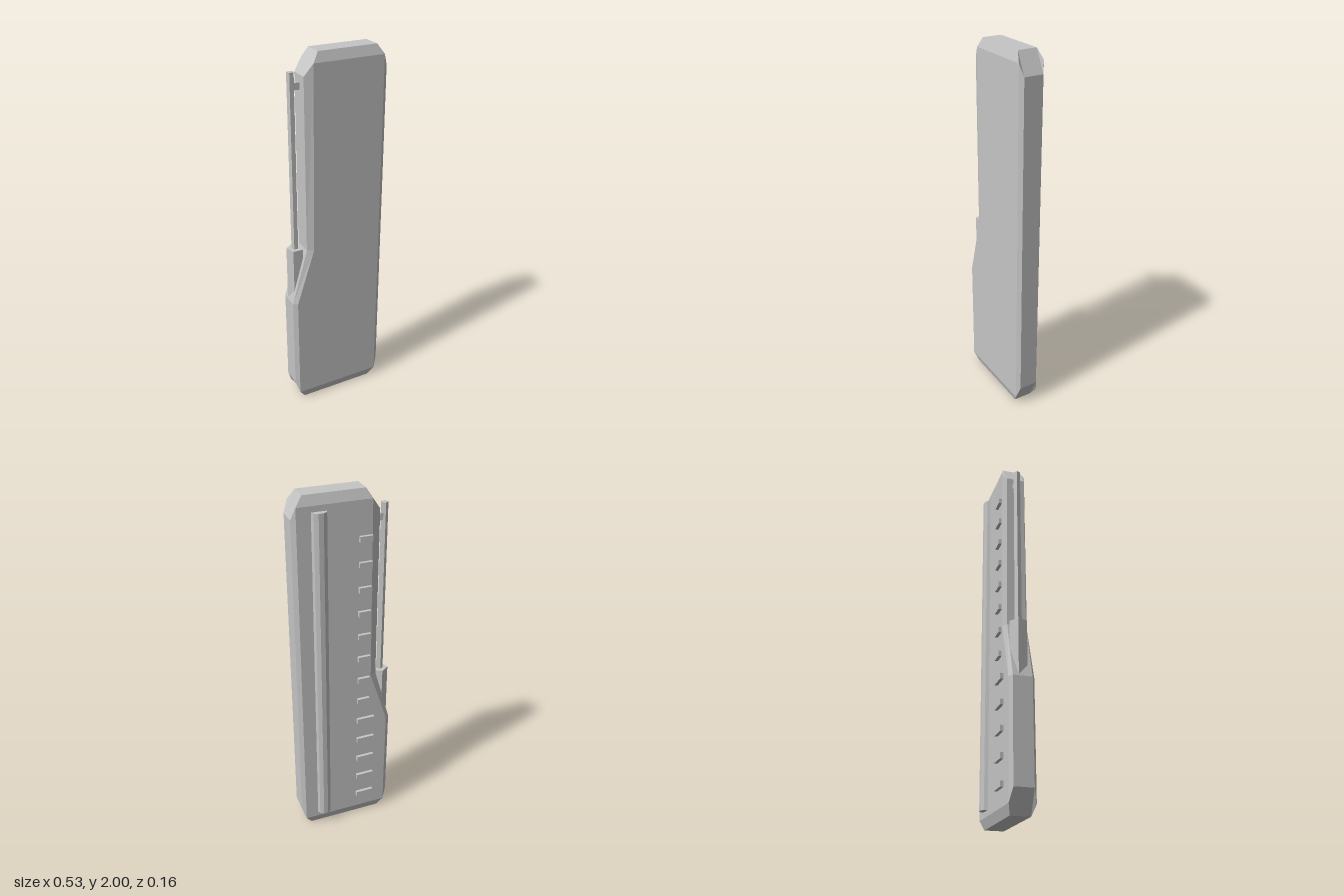
import * as THREE from 'three';

// Bevelled slab: two outer faces and a wider middle band, both listed counter-clockwise
function slabGeometry(edge, face, zBack, zBackEdge, zFrontEdge, zFront) {
  const ring = (pts, z) => pts.map(([x, y]) => [x, y, z]);
  const rings = [ring(face, zFront), ring(edge, zFrontEdge), ring(edge, zBackEdge), ring(face, zBack)];
  const n = edge.length;
  const pos = [];
  const same = (p, q) => p.every((v, i) => v === q[i]);
  const tri = (a, b, c) => {
    if (!same(a, b) && !same(b, c) && !same(a, c)) pos.push(...a, ...b, ...c);
  };
  // bevels and sides
  for (let r = 0; r < 3; r++) {
    for (let i = 0; i < n; i++) {
      const j = (i + 1) % n;
      const a = rings[r][i], b = rings[r][j], c = rings[r + 1][j], d = rings[r + 1][i];
      tri(a, d, c);
      tri(a, c, b);
    }
  }
  // flat faces
  for (let i = 1; i < n - 1; i++) {
    tri(rings[0][0], rings[0][i], rings[0][i + 1]);
    tri(rings[3][0], rings[3][i + 1], rings[3][i]);
  }
  const g = new THREE.BufferGeometry();
  g.setAttribute('position', new THREE.Float32BufferAttribute(pos, 3));
  g.computeVertexNormals();
  return g;
}

export function createModel() {
  const model = new THREE.Group();
  model.name = 'handset';

  const grey = new THREE.MeshStandardMaterial({ color: 0xc5c5c5 });
  grey.name = 'lightGrey';
  grey.flatShading = true;

  const add = (name, geometry, x, y, z) => {
    const mesh = new THREE.Mesh(geometry, grey);
    mesh.name = name;
    mesh.position.set(x, y, z);
    model.add(mesh);
  };

  // Body with a stepped side; each cut corner meets one corner of the face
  const edge = [
    [0.21, 0], [0.267, 0.12], [0.267, 1.89], [0.21, 2], [-0.105, 2],
    [-0.179, 1.89], [-0.179, 0.97], [-0.267, 0.66], [-0.267, 0.12], [-0.21, 0],
  ];
  const bottomRight = [0.245, 0.05], topRight = [0.245, 1.95];
  const topLeft = [-0.135, 1.95], bottomLeft = [-0.245, 0.05];
  const face = [
    bottomRight, bottomRight, topRight, topRight, topLeft,
    topLeft, [-0.145, 0.97], [-0.245, 0.66], bottomLeft, bottomLeft,
  ];
  add('body', slabGeometry(edge, face, -0.052, -0.036, 0.066, 0.082), 0, 0, 0);

  // Five-sided antenna, its socket and the clip that holds the tip
  const pentagon = (name, radius, y0, y1) => {
    const g = new THREE.CylinderGeometry(radius, radius, y1 - y0, 5);
    add(name, g.rotateY(Math.PI), -0.221, (y0 + y1) / 2, 0.01);
  };
  pentagon('antennaSocket', 0.046, 0.6, 0.97);
  pentagon('antennaRod', 0.019, 0.95, 1.905);
  add('antennaClip', new THREE.BoxGeometry(0.045, 0.035, 0.02), -0.19, 1.835, 0.008);

  // Half-round rail along the back
  const rail = new THREE.CylinderGeometry(1, 1, 1.84, 5, 1, false, Math.PI / 2, Math.PI);
  rail.scale(0.04, 1, 0.0325);
  add('backRail', rail, 0.133, 1, -0.051);

  // Row of ribs on the back, longer where the body is wide
  for (let i = 0; i < 13; i++) {
    const outer = i < 8 ? -0.134 : -0.167;
    const inner = -0.067;
    add('backRib', new THREE.BoxGeometry(inner - outer, 0.03, 0.022),
      (inner + outer) / 2, 1.76 - i * 0.134, -0.058);
  }

  return model;
}
